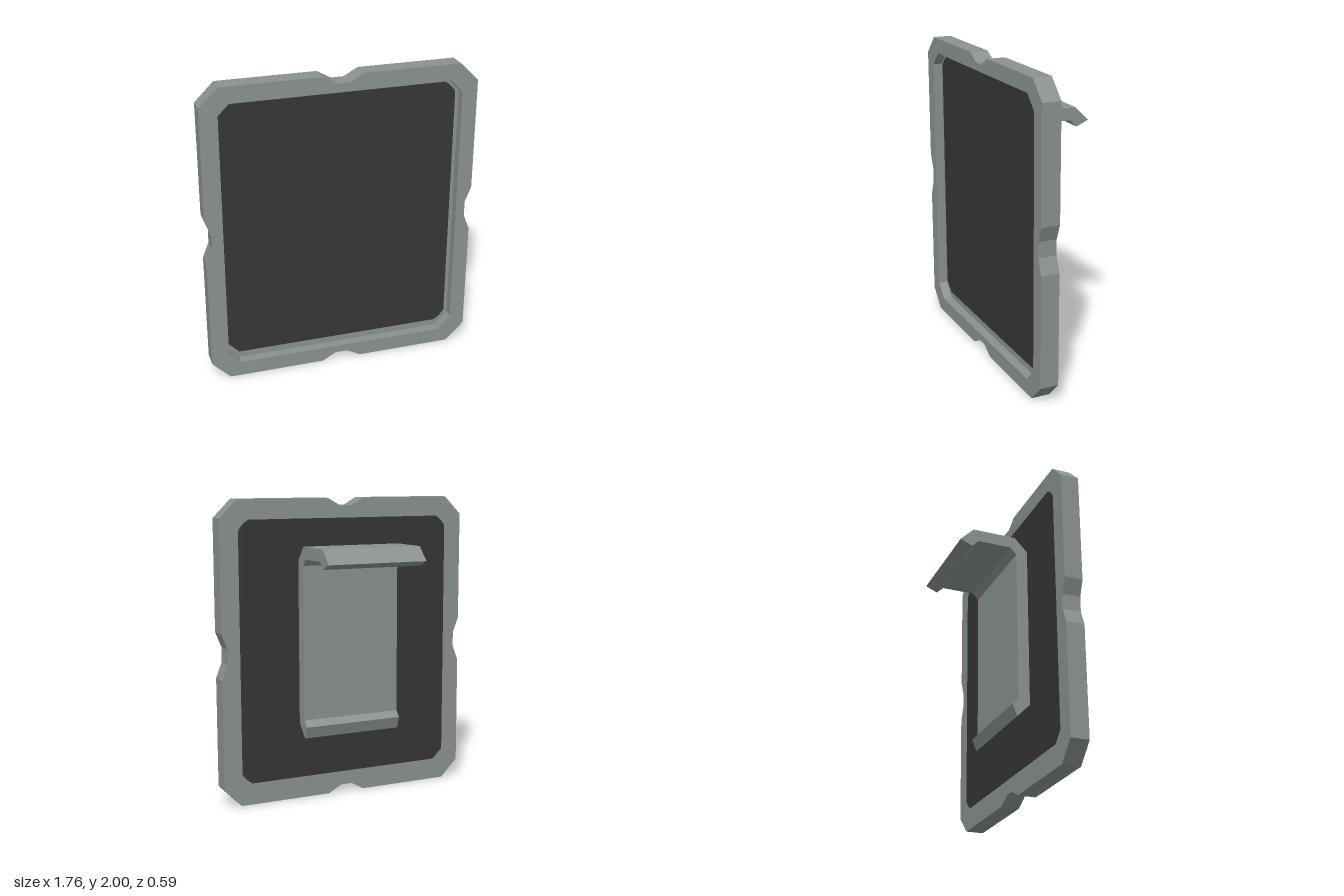
import * as THREE from 'three';

const shapeFrom = (points) => new THREE.Shape(points.map(([x, y]) => new THREE.Vector2(x, y)));

// Rectangle with cut corners, centred on x = 0
function cutRect(halfWidth, bottom, top, cut) {
  const w = halfWidth, c = cut;
  return [
    [-w + c, bottom], [w - c, bottom], [w, bottom + c], [w, top - c],
    [w - c, top], [-w + c, top], [-w, top - c], [-w, bottom + c],
  ];
}

// Frame outline with a notch in the middle of each side
function frameOutline() {
  const quarter = [[0.04, 0.95], [0.13, 1], [0.76, 1], [0.88, 0.88], [0.88, 0.15], [0.84, 0.05]];
  const flip = (sx, sy) => quarter.map(([x, y]) => [x * sx, 1 + y * sy]);
  return [
    ...flip(1, 1), ...flip(1, -1).reverse(),
    ...flip(-1, -1), ...flip(-1, 1).reverse(),
  ].reverse();
}

export function createModel() {
  const model = new THREE.Group();
  const grey = new THREE.MeshStandardMaterial({ color: 0x8a928e });
  grey.name = 'grey metal';
  const dark = new THREE.MeshStandardMaterial({ color: 0x363636 });
  dark.name = 'dark panel';

  function extrude(name, shape, depth, z, material) {
    const geometry = new THREE.ExtrudeGeometry(shape, { depth, bevelEnabled: false, curveSegments: 6 });
    geometry.translate(0, 0, z);
    const mesh = new THREE.Mesh(geometry, material);
    mesh.name = name;
    model.add(mesh);
    return mesh;
  }

  // Solid back half and raised front rim
  extrude('backPlate', shapeFrom(frameOutline()), 0.06, 0.18, grey);
  const rim = shapeFrom(frameOutline());
  rim.holes.push(new THREE.Path(cutRect(0.78, 0.1, 1.9, 0.09).map(([x, y]) => new THREE.Vector2(x, y))));
  extrude('frontRim', rim, 0.06, 0.24, grey);

  // Dark inlays on both faces, corners cut and softened
  const inlay = new THREE.Shape();
  const corners = cutRect(0.755, 0.145, 1.87, 0.07);
  corners.forEach(([x, y], i) => {
    if (i === 0) inlay.moveTo(x, y);
    else if (i % 2 === 1) inlay.lineTo(x, y);
    else {
      const [px, py] = corners[i - 1];
      const vertical = i === 2 || i === 6;
      const kx = vertical ? x : px, ky = vertical ? py : y;
      const mx = (px + x) / 2 * 0.7 + kx * 0.3, my = (py + y) / 2 * 0.7 + ky * 0.3;
      inlay.quadraticCurveTo(mx, my, x, y);
    }
  });
  inlay.closePath();
  extrude('frontInlay', inlay, 0.005, 0.239, dark);
  extrude('backInlay', inlay, 0.005, 0.177, dark);

  // Bent belt clip, side profile as [z, y]
  const profile = [
    [0.18, 1.6], [0.09, 1.695], [-0.2, 1.695], [-0.29, 1.605], [-0.21, 1.57], [-0.165, 1.615],
    [0.06, 1.615], [0.1, 1.57], [0.1, 0.55], [0.06, 0.51], [0.09, 0.43], [0.18, 0.52],
  ];
  const clip = extrude('clip', shapeFrom(profile.map(([z, y]) => [-z, y])), 0.69, -0.345, grey);
  clip.geometry.rotateY(Math.PI / 2);

  return model;
}
